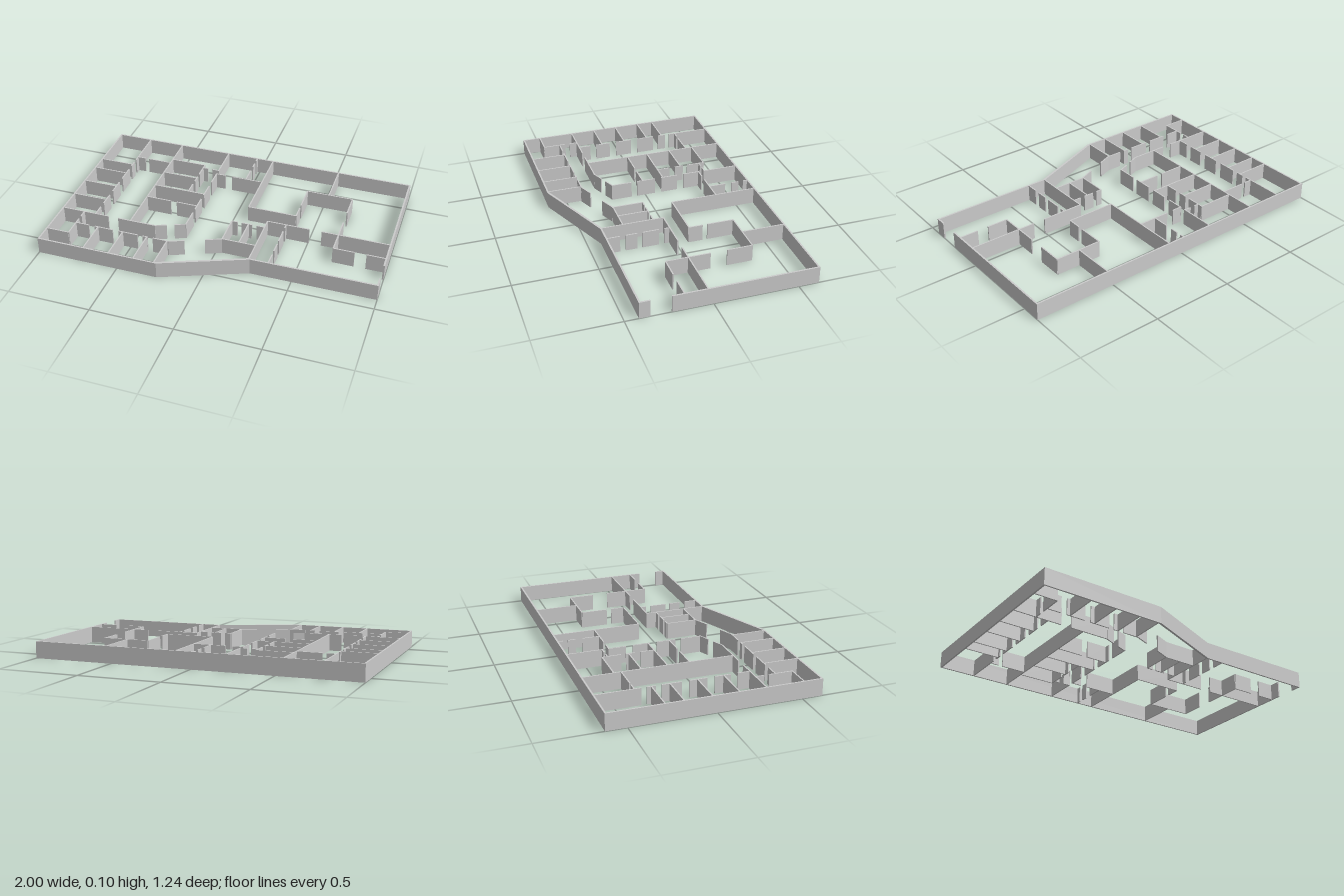
import * as THREE from 'three';

const H = 0.102;      // wall height
const T = 0.008;      // partition thickness
const material = new THREE.MeshStandardMaterial({ color: 0xcccccc, flatShading: true });

export function createModel() {
  const model = new THREE.Group();
  model.name = 'floorPlan';

  const group = (name) => {
    const g = new THREE.Group();
    g.name = name;
    model.add(g);
    return g;
  };

  // One straight partition between two points on the floor
  const wall = (parent, x1, z1, x2, z2, t = T) => {
    const len = Math.hypot(x2 - x1, z2 - z1);
    const mesh = new THREE.Mesh(new THREE.BoxGeometry(len, H, t), material);
    mesh.position.set((x1 + x2) / 2, H / 2, (z1 + z2) / 2);
    mesh.rotation.y = -Math.atan2(z2 - z1, x2 - x1);
    mesh.name = 'partition';
    parent.add(mesh);
  };
  // Runs of wall along x or z; pairs of ends leave the doorways between them
  const alongX = (parent, z, ...runs) => runs.forEach(([a, b]) => wall(parent, a, z, b, z));
  const alongZ = (parent, x, ...runs) => runs.forEach(([a, b]) => wall(parent, x, a, x, b));

  // Outer wall: one mitred strip with an entrance gap on the +x side
  const outline = [
    [1, 0.355], [1, 0.42], [0.25, 0.42], [-0.25, 0.622], [-1, 0.622], [-1, -0.622], [1, -0.622], [1, 0.235],
    [0.99, 0.235], [0.99, -0.612], [-0.99, -0.612], [-0.99, 0.612], [-0.262, 0.612], [0.238, 0.41], [0.99, 0.41], [0.99, 0.355],
  ].map(([x, z]) => new THREE.Vector2(x, -z));
  const outerGeometry = new THREE.ExtrudeGeometry(new THREE.Shape(outline), { depth: H, bevelEnabled: false });
  outerGeometry.rotateX(-Math.PI / 2);
  const outer = new THREE.Mesh(outerGeometry, material);
  outer.name = 'outerWall';
  model.add(outer);

  // Row of small rooms along the -x side
  const west = group('westRooms');
  for (const z of [-0.294, -0.187, -0.027, 0.128]) alongX(west, z, [-0.99, -0.778]);
  alongZ(west, -0.778, [-0.615, -0.35], [-0.32, -0.27], [-0.235, -0.12], [-0.075, 0.03], [0.075, 0.17], [0.21, 0.285]);
  alongX(west, -0.39, [-0.778, -0.725], [-0.7, -0.548]);
  alongX(west, 0.285, [-0.99, -0.693]);
  alongZ(west, -0.853, [0.285, 0.335], [0.365, 0.508]);
  alongX(west, 0.508, [-0.99, -0.853]);

  // Front row of offices beside the corridor
  const front = group('frontRooms');
  alongX(front, 0.404, [-0.853, -0.767], [-0.73, -0.612], [-0.575, -0.452], [-0.42, -0.388], [-0.355, -0.254]);
  for (const x of [-0.708, -0.548, -0.393, -0.265]) alongZ(front, x, [0.404, 0.615]);
  wall(front, -0.254, 0.404, -0.168, 0.369);
  wall(front, -0.056, 0.324, 0.037, 0.285);

  // Central block
  const centre = group('centralRooms');
  alongZ(centre, -0.548, [-0.615, 0.285]);
  alongX(centre, 0.285, [-0.628, -0.388]);
  wall(centre, -0.388, 0.285, -0.323, 0.258);
  wall(centre, -0.281, 0.241, -0.217, 0.215);
  alongZ(centre, -0.217, [-0.615, -0.395], [-0.365, -0.257], [-0.214, -0.107], [-0.064, 0.053], [0.09, 0.219]);
  alongX(centre, -0.433, [-0.548, -0.323]);
  alongX(centre, -0.273, [-0.548, -0.323]);
  alongX(centre, -0.118, [-0.548, -0.217]);
  alongX(centre, 0.016, [-0.548, -0.388], [-0.35, -0.217]);
  alongZ(centre, -0.323, [-0.433, -0.32], [-0.29, -0.235], [-0.2, -0.118]);
  alongX(centre, -0.401, [-0.323, -0.29], [-0.26, -0.217]);

  // Back rooms and the large hall
  const back = group('backRooms');
  alongZ(back, -0.018, [-0.615, -0.585], [-0.555, -0.508], [-0.465, -0.36]);
  alongX(back, -0.36, [-0.217, -0.155], [-0.11, 0.09]);
  alongZ(back, 0.09, [-0.615, -0.075]);
  alongX(back, -0.075, [0.09, 0.393]);
  alongZ(back, 0.393, [-0.353, -0.19], [-0.16, -0.075]);
  alongX(back, -0.353, [0.393, 0.682]);
  alongZ(back, 0.532, [-0.615, -0.353]);
  alongZ(back, 0.682, [-0.353, -0.2], [-0.1, 0.166]);

  // Rooms at the +x front corner
  const east = group('eastRooms');
  alongX(east, 0.032, [0.243, 0.505], [0.58, 0.99]);
  alongX(east, 0.166, [0.682, 0.81], [0.88, 0.99]);
  alongZ(east, 0.243, [0.032, 0.415]);
  alongZ(east, 0.36, [0.032, 0.065], [0.1, 0.2], [0.23, 0.3], [0.335, 0.415]);
  alongX(east, 0.096, [0.037, 0.075], [0.1, 0.165], [0.195, 0.243]);
  alongX(east, 0.283, [0.037, 0.243]);
  alongZ(east, 0.037, [0.096, 0.285]);
  alongZ(east, 0.142, [0.096, 0.285]);

  return model;
}
